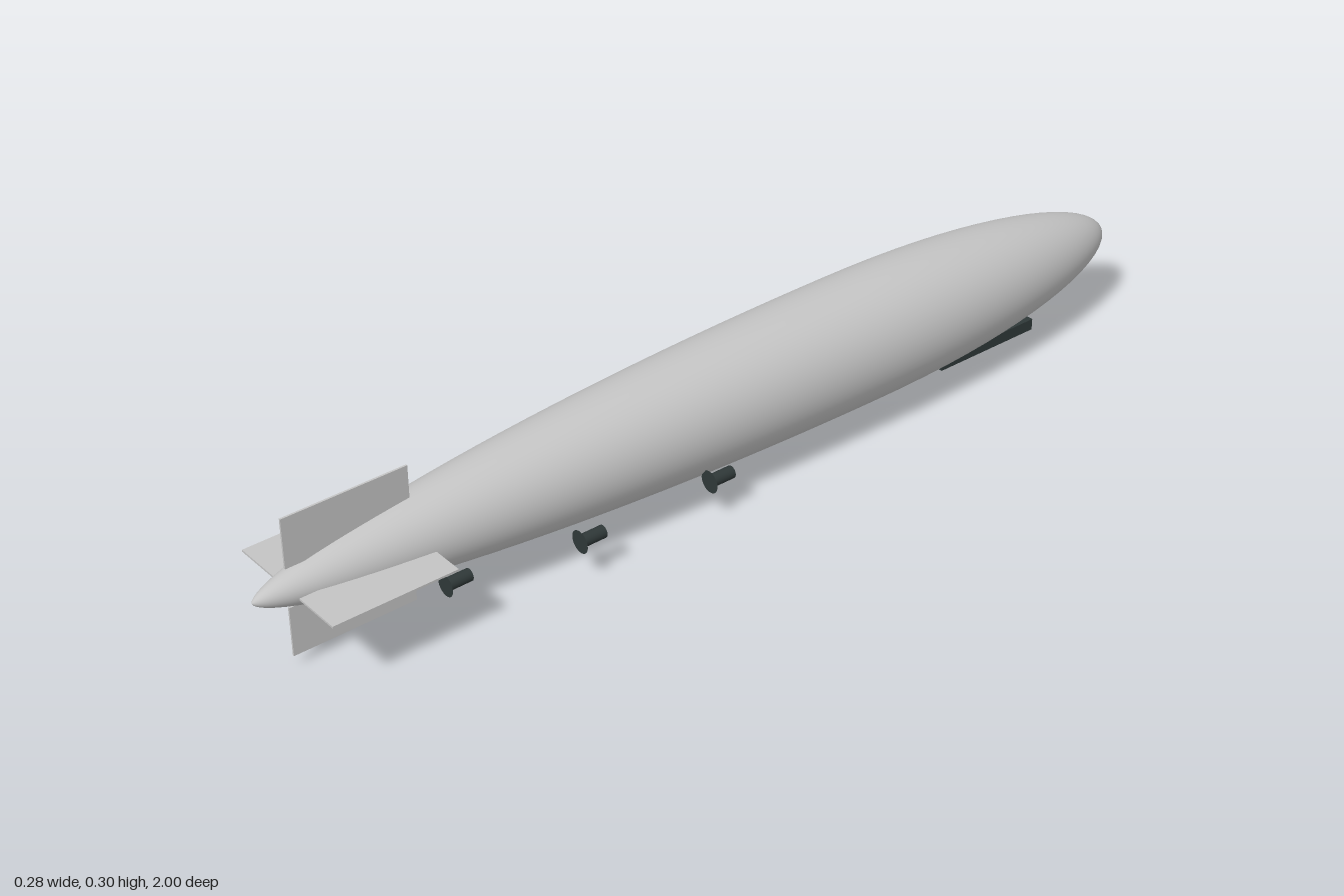
import * as THREE from 'three';

const AXIS_Y = 0.163;   // height of the hull axis
const RADIUS = 0.127;   // widest hull radius
const WIDEST_Z = -0.35; // where the hull is widest; nose at z = -1, tail at z = 1

export function createModel() {
  const model = new THREE.Group();
  model.name = 'airship';

  const silver = new THREE.MeshStandardMaterial({ color: 0xc4c4c4 });
  silver.name = 'silver skin';
  const dark = new THREE.MeshStandardMaterial({ color: 0x2f3838 });
  dark.name = 'dark slate';
  const darkDisc = dark.clone();
  darkDisc.side = THREE.DoubleSide;

  const add = (name, geometry, material, x, y, z, parent = model) => {
    const mesh = new THREE.Mesh(geometry, material);
    mesh.name = name;
    mesh.position.set(x, y, z);
    parent.add(mesh);
    return mesh;
  };

  // Hull: elliptical nose and a longer, finer tail, turned around the z axis
  const profile = [];
  const steps = 48;
  for (let i = 0; i <= steps; i++) {
    const z = -Math.cos((i / steps) * Math.PI);
    const nose = z < WIDEST_Z;
    const s = (z - WIDEST_Z) / (nose ? 1 + WIDEST_Z : 1 - WIDEST_Z);
    const r = RADIUS * Math.pow(Math.max(0, 1 - s * s), nose ? 0.5 : 0.6);
    profile.push(new THREE.Vector2(r, z));
  }
  const hull = add('hull', new THREE.LatheGeometry(profile, 64), silver, 0, AXIS_Y, 0);
  hull.rotation.x = Math.PI / 2;

  // Four tail fins in a cross
  const fins = new THREE.Group();
  fins.name = 'tailFins';
  fins.position.set(0, AXIS_Y, 0.808);
  model.add(fins);
  const finGeometry = new THREE.BoxGeometry(0.1, 0.004, 0.25);
  ['leftFin', 'topFin', 'rightFin', 'bottomFin'].forEach((name, i) => {
    const a = (i * Math.PI) / 2;
    const fin = add(name, finGeometry, silver, 0.09 * Math.cos(a), 0.09 * Math.sin(a), 0, fins);
    fin.rotation.z = a;
  });

  // Control gondola under the nose
  add('gondola', new THREE.BoxGeometry(0.05, 0.024, 0.25), dark, 0, 0.025, -0.673);

  // Engine pods, each with a flat propeller disc at its rear end
  const podGeometry = new THREE.CylinderGeometry(0.0125, 0.0125, 0.05, 20).rotateX(Math.PI / 2);
  const discGeometry = new THREE.CircleGeometry(0.0225, 28);
  const addEngine = (name, x, y, z) => {
    const engine = new THREE.Group();
    engine.name = name;
    engine.position.set(x, y, z);
    model.add(engine);
    add('pod', podGeometry, dark, 0, 0, 0, engine);
    add('propellerDisc', discGeometry, darkDisc, 0, 0, 0.0265, engine);
  };
  for (const [side, x] of [['left', 0.11], ['right', -0.11]]) {
    addEngine(side + 'FrontEngine', x, 0.08, 0.088);
    addEngine(side + 'RearEngine', x, 0.08, 0.382);
  }
  addEngine('tailEngine', 0, 0.0235, 0.595);

  return model;
}
